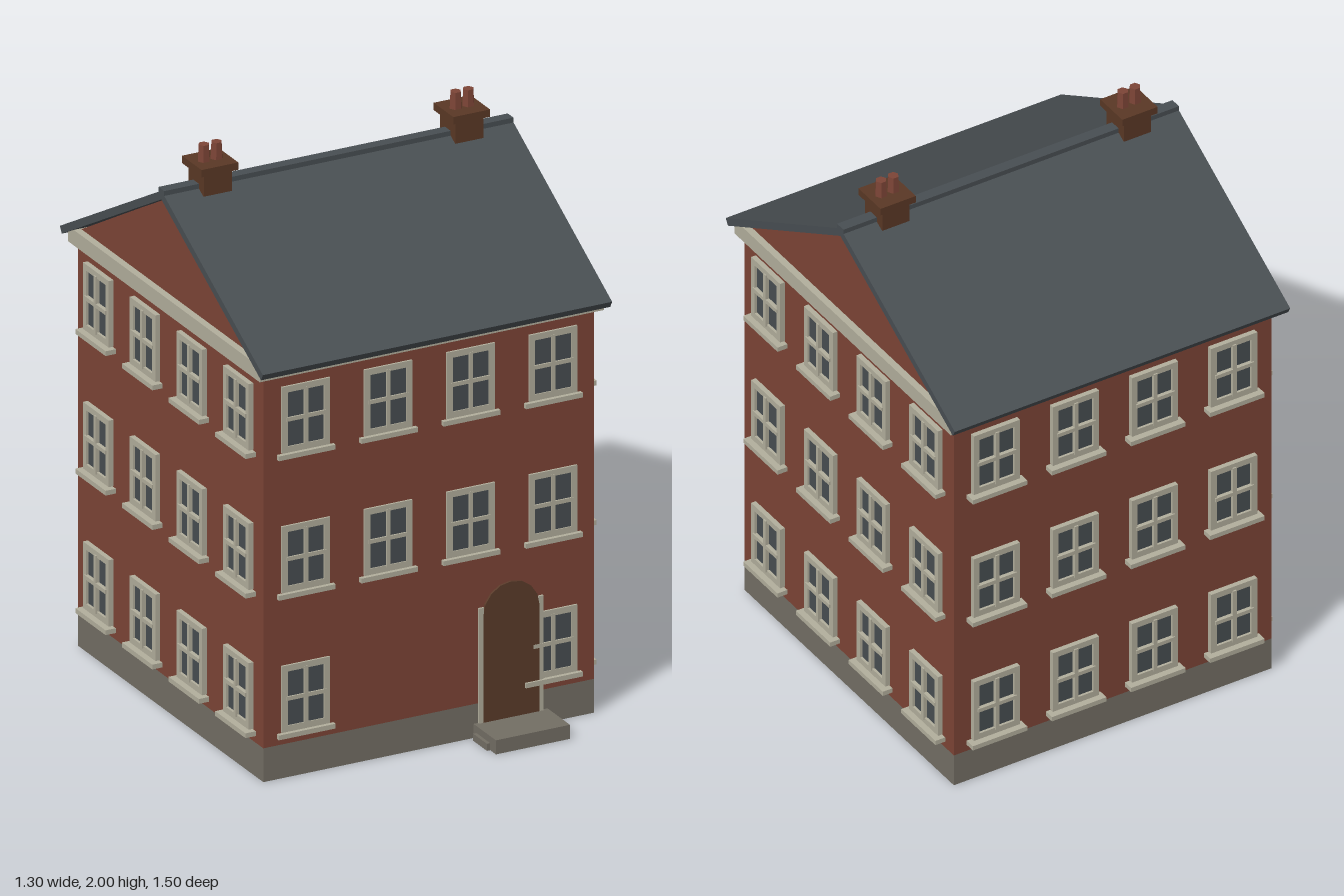
import * as THREE from 'three';

const mat = (name, color) => {
  const m = new THREE.MeshStandardMaterial({ color });
  m.name = name;
  return m;
};

export function createModel() {
  const brick = mat('brick', 0x7c4436);
  const slate = mat('slate', 0x484e52);
  const glass = mat('glass', 0x474d51);
  const trim = mat('trim', 0xb2ae9c);
  const stone = mat('stone', 0x736e64);
  const wood = mat('door wood', 0x5a3b2a);
  const chimneyBrick = mat('chimney brick', 0x5a3825);

  const model = new THREE.Group();
  model.name = 'townhouse';
  const house = new THREE.Group();
  house.name = 'house';
  house.position.z = -0.042;
  model.add(house);

  const HX = 0.612, HZ = 0.642; // half width and half depth of the walls

  const add = (parent, name, geometry, material) => {
    const mesh = new THREE.Mesh(geometry, material);
    mesh.name = name;
    parent.add(mesh);
    return mesh;
  };
  // Box given by its limits on each axis
  const box = (parent, name, material, x0, x1, y0, y1, z0, z1) => {
    const mesh = add(parent, name, new THREE.BoxGeometry(x1 - x0, y1 - y0, z1 - z0), material);
    mesh.position.set((x0 + x1) / 2, (y0 + y1) / 2, (z0 + z1) / 2);
    return mesh;
  };
  // Profile across the house, extruded along x and centred
  const acrossHouse = (points, length) => {
    const shape = new THREE.Shape(points.map(p => new THREE.Vector2(...p)));
    return new THREE.ExtrudeGeometry(shape, { depth: length, bevelEnabled: false })
      .translate(0, 0, -length / 2).rotateY(Math.PI / 2);
  };

  // Walls, plinth and cornice
  box(house, 'plinth', stone, -HX, HX, 0, 0.12, -HZ, HZ);
  box(house, 'walls', brick, -HX, HX, 0.12, 1.44, -HZ, HZ);
  box(house, 'cornice', trim, -0.637, 0.637, 1.433, 1.488, -0.664, 0.664);

  // Gables and roof
  add(house, 'gables', acrossHouse([[-0.618, 1.488], [0.618, 1.488], [0, 1.836]], HX * 2), brick);
  add(house, 'roof', acrossHouse([
    [0.703, 1.475], [0, 1.865], [-0.703, 1.475],
    [-0.69, 1.452], [0, 1.834], [0.69, 1.452],
  ], 1.293), slate);
  box(house, 'ridgeCap', slate, -0.6465, 0.6465, 1.84, 1.871, -0.02, 0.02);

  // Windows: frame with a hole, pane, glazing bars and sill, facing +z
  const W = 0.178, H = 0.236, B = 0.022;
  const rect = (w, h, Type) => new Type([[-w, -h], [w, -h], [w, h], [-w, h]]
    .map(([x, y]) => new THREE.Vector2(x / 2, y / 2)));
  const frameShape = rect(W, H, THREE.Shape);
  frameShape.holes.push(rect(W - 2 * B, H - 2 * B, THREE.Path));
  const frameGeometry = new THREE.ExtrudeGeometry(frameShape, { depth: 0.018, bevelEnabled: false });

  const addWindow = (wall, x, y) => {
    const win = new THREE.Group();
    win.name = 'window';
    win.position.set(x, y, 0);
    add(win, 'windowFrame', frameGeometry, trim);
    box(win, 'windowPane', glass, -W / 2 + 0.01, W / 2 - 0.01, -H / 2 + 0.01, H / 2 - 0.01, 0, 0.009);
    box(win, 'verticalBar', trim, -0.007, 0.007, -H / 2 + 0.015, H / 2 - 0.015, 0, 0.023);
    box(win, 'horizontalBar', trim, -W / 2 + 0.015, W / 2 - 0.015, -0.007, 0.007, 0, 0.023);
    box(win, 'windowSill', trim, -0.105, 0.105, -H / 2 - 0.02, -H / 2 - 0.003, 0, 0.038);
    wall.add(win);
  };

  // One window grid per wall; the front windows are shallower and leave room for the door
  const walls = [
    { name: 'frontWindows', turn: 0, out: HZ, step: 0.305, depth: 0.4 },
    { name: 'leftWindows', turn: Math.PI / 2, out: HX, step: 0.323, depth: 1 },
    { name: 'backWindows', turn: Math.PI, out: HZ, step: 0.305, depth: 1 },
    { name: 'rightWindows', turn: -Math.PI / 2, out: HX, step: 0.323, depth: 1 },
  ];
  for (const { name, turn, out, step, depth } of walls) {
    const wall = new THREE.Group();
    wall.name = name;
    wall.rotation.y = turn;
    wall.position.set(Math.sin(turn) * out, 0, Math.cos(turn) * out);
    wall.scale.z = depth;
    for (let row = 0; row < 3; row++) {
      for (let col = 0; col < 4; col++) {
        if (turn === 0 && row === 0 && (col === 1 || col === 2)) continue;
        addWindow(wall, (col - 1.5) * step, 0.282 + row * 0.4955);
      }
    }
    house.add(wall);
  }

  // Arched door with side posts and steps
  const entrance = new THREE.Group();
  entrance.name = 'entrance';
  entrance.position.set(0.302, 0, HZ);
  house.add(entrance);
  const R = 0.104;
  const doorShape = new THREE.Shape();
  doorShape.moveTo(-R, 0.05);
  doorShape.lineTo(R, 0.05);
  for (let i = 0; i <= 8; i++) {
    const a = i * Math.PI / 8;
    doorShape.lineTo(R * Math.cos(a), 0.428 + R * Math.sin(a));
  }
  add(entrance, 'door', new THREE.ExtrudeGeometry(doorShape, { depth: 0.008, bevelEnabled: false }), wood);
  for (const s of [-1, 1]) {
    box(entrance, 'doorPost', trim, s * 0.11 - 0.009, s * 0.11 + 0.009, 0.05, 0.458, 0, 0.0076);
  }
  box(entrance, 'doorStep', stone, -0.136, 0.138, 0, 0.05, 0, 0.155);
  box(entrance, 'lowerStep', stone, -0.148, 0.15, 0, 0.025, 0.02, 0.115);

  // Chimneys with two hexagonal pots each
  for (const s of [-1, 1]) {
    const chimney = new THREE.Group();
    chimney.name = 'chimney';
    chimney.position.x = s * 0.466;
    box(chimney, 'chimneyStack', chimneyBrick, -0.052, 0.052, 1.838, 1.92, -0.054, 0.054);
    box(chimney, 'chimneyCap', chimneyBrick, -0.068, 0.068, 1.915, 1.941, -0.068, 0.068);
    for (const side of [-1, 1]) {
      const pot = new THREE.CylinderGeometry(0.019, 0.022, 0.062, 6).rotateY(Math.PI / 6).toNonIndexed();
      pot.computeVertexNormals();
      add(chimney, 'chimneyPot', pot, brick).position.set(side * 0.0235, 1.969, 0);
    }
    house.add(chimney);
  }

  return model;
}
